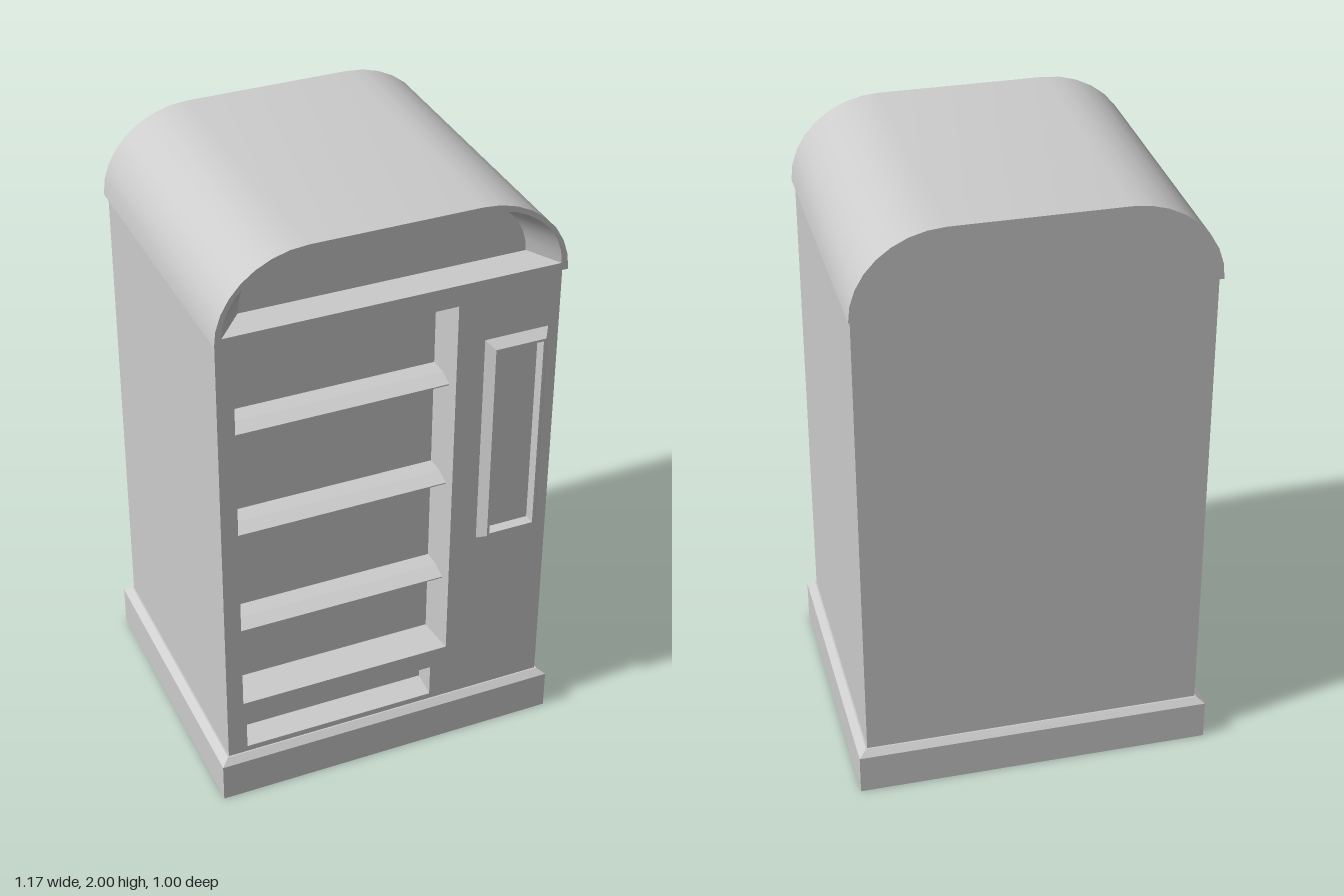
import * as THREE from 'three';
import { toCreasedNormals } from 'three/addons/utils/BufferGeometryUtils.js';

const material = new THREE.MeshStandardMaterial({ color: 0xcccccc });

// Counter-clockwise rectangle at depth z
const rect = (x0, x1, y0, y1, z) => [[x0, y0, z], [x1, y0, z], [x1, y1, z], [x0, y1, z]];

// Flat-topped arch at depth z: rounded shoulders beyond the flat half-width
function arch(halfWidth, flat, y0, y1, z, steps = 8) {
  const right = [];
  for (let i = 0; i <= steps; i++) {
    const a = (i / steps) * Math.PI / 2;
    right.push([flat + (halfWidth - flat) * Math.cos(a), y0 + (y1 - y0) * Math.sin(a), z]);
  }
  return [...right, ...right.map(([x, y]) => [-x, y, z]).reverse()];
}

// Skin convex rings in order, closing the last one and optionally the first
function loft(rings, capStart = true) {
  const n = rings[0].length, index = [];
  for (let k = 0; k < rings.length - 1; k++) {
    for (let i = 0; i < n; i++) {
      const j = (i + 1) % n, a = k * n, b = a + n;
      index.push(a + i, a + j, b + j, a + i, b + j, b + i);
    }
  }
  const last = (rings.length - 1) * n;
  for (let i = 1; i < n - 1; i++) {
    index.push(last, last + i, last + i + 1);
    if (capStart) index.push(0, i + 1, i);
  }
  const geometry = new THREE.BufferGeometry();
  geometry.setAttribute('position', new THREE.Float32BufferAttribute(rings.flat(2), 3));
  geometry.setIndex(index);
  return toCreasedNormals(geometry, 0.5);
}

export function createModel() {
  const group = new THREE.Group();
  const add = (name, geometry) => {
    const mesh = new THREE.Mesh(geometry, material);
    mesh.name = name;
    group.add(mesh);
    return mesh;
  };
  const front = 0.47, back = -0.475, half = 0.555;

  // Plinth with a bevelled top edge, lofted upwards
  const plinth = loft([
    rect(-0.585, 0.585, -0.495, 0.5, 0),
    rect(-0.585, 0.585, -0.495, 0.5, 0.135),
    rect(-0.56, 0.56, -0.475, 0.48, 0.155),
  ]);
  add('plinth', plinth.rotateX(-Math.PI / 2));

  // Cabinet sides and back
  const shell = new THREE.BoxGeometry(2 * half, 1.6, front - back);
  shell.setIndex([...shell.index.array].filter((v, i) => Math.floor(i / 6) !== 4)); // open front
  add('cabinetShell', shell).position.set(0, 0.94, (front + back) / 2);

  // Front panel with window and tray openings
  const panel = new THREE.Shape(rect(-half, half, 0.14, 1.74, 0).map(([x, y]) => new THREE.Vector2(x, y)));
  const openings = [
    { name: 'windowRecess', outer: [-0.5, 0.215, 0.36, 1.67], inner: [-0.485, 0.203, 0.36, 1.67], depth: 0.13 },
    { name: 'trayRecess', outer: [-0.49, 0.16, 0.175, 0.29], inner: [-0.49, 0.16, 0.19, 0.272], depth: 0.08 },
  ];
  for (const { name, outer, inner, depth } of openings) {
    panel.holes.push(new THREE.Path(rect(...outer, 0).map(([x, y]) => new THREE.Vector2(x, y)).reverse()));
    add(name, loft([rect(...outer, front), rect(...inner, front - depth)], false));
  }
  add('frontPanel', new THREE.ShapeGeometry(panel)).position.z = front;

  // Shelves with a sloping front edge: profile is (depth, height), extruded sideways
  const profile = new THREE.Shape([[0.34, 0], [0.445, 0], [0.445, 0.004], [0.4, 0.022], [0.34, 0.022]]
    .map(([z, y]) => new THREE.Vector2(-z, y)));
  for (const y of [1.38, 1.01, 0.635]) {
    const shelf = new THREE.ExtrudeGeometry(profile, { depth: 0.695, bevelEnabled: false });
    add('shelf', shelf.rotateY(Math.PI / 2)).position.set(-0.491, y, 0);
  }

  // Raised control panel with a sunken face
  const inset = (d, z) => rect(0.307 + d, 0.52 - d, 0.785 + d, 1.53 - d, z);
  add('controlPanel', loft([
    inset(0, front - 0.005), inset(0, front), inset(0.022, 0.503), inset(0.03, 0.503), inset(0.037, 0.475),
  ]));

  // Rounded roof with a tapered recess in its front
  add('roof', loft([
    arch(0.563, 0.27, 1.73, 2, -0.495),
    arch(0.563, 0.27, 1.73, 2, 0.49),
    arch(0.54, 0.27, 1.755, 1.98, 0.49),
    arch(0.46, 0.27, 1.775, 1.965, 0.41),
  ]));

  return group;
}
